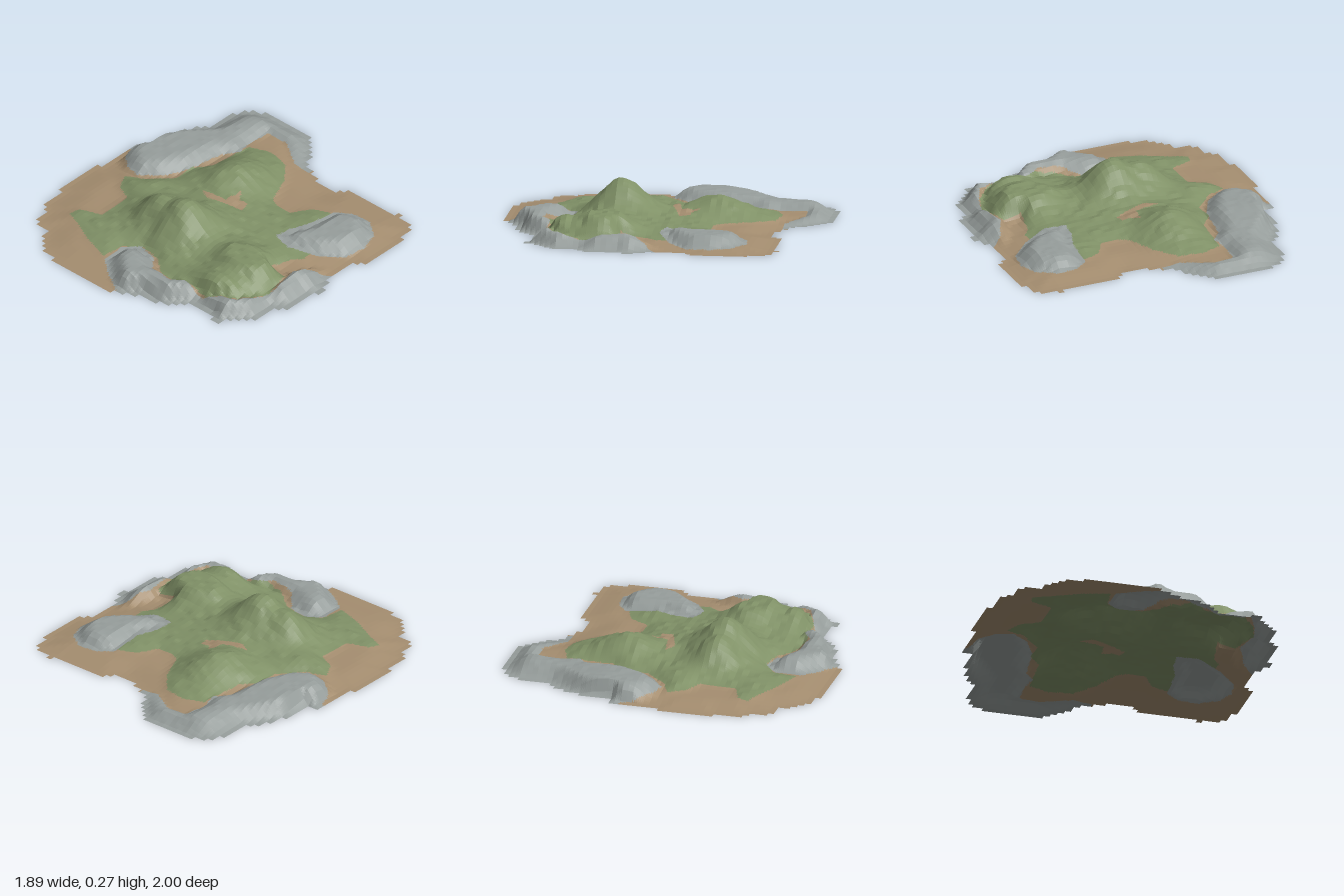
import * as THREE from 'three';

const STEP = 2 / 57, SUB = 3, NX = 54, NZ = 57;

// Region outlines as flat x, z pairs
const outline = [-.51, -1, -.2, -1, -.11, -.93, 0, -.78, .2, -.68, .25, -.66, .37, -.76, .71, -.76, .77, -.8, .8, -.75,
  .91, -.73, .92, -.6, .95, -.59, .95, -.29, .9, -.25, .88, -.2, .88, 0, .91, .07, .95, .14, .91, .2, .91, .37, .84, .45,
  .84, .6, .69, .77, .63, .79, .6, .75, .44, .76, .32, .87, .14, .9, .06, .96, -.06, 1, -.44, 1, -.58, .96, -.65, .9,
  -.72, .8, -.81, .79, -.85, .66, -.91, .6, -.91, .45, -.95, .43, -.95, .08, -.91, .07, -.91, -.22, -.85, -.24,
  -.84, -.4, -.81, -.5, -.71, -.68, -.68, -.9, -.6, -.97];
const grassArea = [-.36, -.64, -.23, -.69, -.08, -.66, .03, -.53, .11, -.34, .17, -.31, .28, -.31, .35, -.43, .46, -.48,
  .62, -.3, .66, -.02, .61, .04, .58, .2, .72, .21, .76, .4, .72, .51, .64, .61, .5, .68, .37, .66, .27, .71, .14, .69,
  0, .58, -.14, .56, -.24, .63, -.26, .78, -.44, .72, -.6, .64, -.71, .6, -.69, .53, -.55, .48, -.55, .25, -.66, .2,
  -.72, .09, -.6, .04, -.47, -.1, -.47, -.24, -.39, -.34];
const innerSoil = [-.22, -.06, -.05, -.09, -.03, -.21, .01, -.15, .07, -.16, .08, -.09, -.05, -.05, -.14, -.02];
const leftRock = [0, -1.08, -1.03, -1.08, -1.03, -.18, -.89, -.16, -.87, -.07, -.76, .02, -.66, .04, -.55, -.05,
  -.47, -.21, -.43, -.47, -.36, -.56, -.39, -.66, -.37, -.82, -.23, -.83, -.06, -.72, .06, -.72];
const rightRock = [.47, -.5, .56, -.57, .69, -.58, .8, -.5, .84, -.37, .82, -.23, .69, -.1, .53, -.02, .4, -.05,
  .41, -.16, .46, -.29];
const frontRock = [.88, -.04, .8, .03, .74, .16, .77, .35, .73, .51, .68, .61, .48, .69, .32, .67, .24, .73, .08, .71,
  -.02, .59, -.15, .56, -.24, .64, -.23, .8, -.13, .88, .06, .99, 1.1, .95, 1.1, -.1];

const { lerp, clamp, smoothstep: smooth } = THREE.MathUtils;
const bump = (x, z, cx, cz, sx, sz) => Math.exp(-(((x - cx) / sx) ** 2 + ((z - cz) / sz) ** 2) / 2);
const hash = (i, j) => { const s = Math.sin(i * 127.1 + j * 311.7) * 43758.5453; return s - Math.floor(s) - 0.5; };

// Rock shelves: top height, reach beyond the outline, inner slope and outer slope width
const rocks = [
  { poly: leftRock, top: (x, z) => lerp(.074, .102, smooth(z, -.65, -.25)), reach: () => .07, slope: .17,
    skirt: (z) => lerp(.17, .08, smooth(z, -.7, -.3)) },
  { poly: rightRock, top: () => .088, reach: () => .03, slope: .14, skirt: () => .1 },
  // The front shelf dips in a gully between its two ends
  { poly: frontRock, top: (x, z) => .096 * (1 - .7 * bump(x, z, .45, .74, .05, .12)),
    reach: (x) => .02 + .08 * smooth(x, -.1, .15), slope: .14, skirt: (z) => lerp(.16, .1, smooth(z, .45, .7)) },
];

// Signed distance to a polygon, positive inside
function inside(p, x, z) {
  let d = Infinity, hit = false;
  for (let i = 0, n = p.length; i < n; i += 2) {
    const ax = p[i], az = p[i + 1], bx = p[(i + 2) % n], bz = p[(i + 3) % n];
    const ex = bx - ax, ez = bz - az;
    const t = clamp(((x - ax) * ex + (z - az) * ez) / (ex * ex + ez * ez), 0, 1);
    d = Math.min(d, Math.hypot(x - ax - t * ex, z - az - t * ez));
    if ((az > z) !== (bz > z) && x < ax + ex * (z - az) / ez) hit = !hit;
  }
  return hit ? d : -d;
}

// Ground height at a coarse grid node
function nodeHeight(i, j) {
  const x = (i - NX / 2) * STEP, z = (j - NZ / 2) * STEP;
  const edge = inside(outline, x, z);
  if (edge <= 0) return 0;
  const g = smooth(inside(grassArea, x, z), -.06, .14);
  // Low soil apron with the green hills rising from it
  let y = .026 * smooth(edge, 0, .22) + .026 * g;
  let hills = .205 * bump(x, z, -.05, .28, .13, .13) + .11 * bump(x, z, -.29, .28, .075, .1)
    + .105 * bump(x, z, -.18, -.3, .12, .14) + .03 * bump(x, z, .1, .1, .25, .2)
    + .09 * bump(x, z, .5, .59, .13, .07) + .17 * bump(x, z, .5, .32, .14, .11)
    + .03 * bump(x, z, -.5, .12, .1, .12);
  if (x > .3) hills = Math.min(hills, .113);
  y += hills * smooth(g, 0, .6);
  y += hash(i >> 1, j) * .012 * g;
  // Flat-topped rock shelves
  for (const { poly, top, reach, slope, skirt } of rocks) {
    const d = inside(poly, x, z) + reach(x);
    if (d <= 0) continue;
    const shelf = top(x, z) * smooth(d, 0, slope) * smooth(edge, .01, skirt(z));
    y = Math.max(y, shelf + hash(i, j) * .004);
  }
  return Math.max(0, y * smooth(edge, -.03, .07));
}

export function createModel() {
  const mat = (name, color) => new THREE.MeshStandardMaterial({ name, color, flatShading: true, side: THREE.DoubleSide });
  const layers = {
    soil: { material: mat('brown soil', 0xa58e70), points: [] },
    grass: { material: mat('green grass', 0x809167), points: [] },
    rock: { material: mat('grey rock', 0x979e9c), points: [] },
  };
  const nodes = [];
  for (let j = 0; j <= NZ; j++) {
    nodes.push([]);
    for (let i = 0; i <= NX; i++) nodes[j].push(nodeHeight(i, j));
  }

  // Point on the terrain within cell i, j
  const point = (i, j, u, v) => {
    const a = lerp(nodes[j][i], nodes[j][i + 1], u);
    const b = lerp(nodes[j + 1][i], nodes[j + 1][i + 1], u);
    return [(i + u - NX / 2) * STEP, lerp(a, b, v), (j + v - NZ / 2) * STEP];
  };
  const layerAt = (x, z) => {
    if (rocks.some(({ poly }) => inside(poly, x, z) > 0)) return layers.rock;
    if (inside(innerSoil, x, z) > 0) return layers.soil;
    return inside(grassArea, x, z) > 0 ? layers.grass : layers.soil;
  };
  const addTriangle = (a, b, c) => {
    layerAt((a[0] + b[0] + c[0]) / 3, (a[2] + b[2] + c[2]) / 3).points.push(...a, ...b, ...c);
  };

  // Stepped island edge from whole cells, split finely for the ground cover
  for (let j = 0; j < NZ; j++) for (let i = 0; i < NX; i++) {
    if (inside(outline, (i + .5 - NX / 2) * STEP, (j + .5 - NZ / 2) * STEP) <= 0) continue;
    for (let m = 0; m < SUB; m++) for (let k = 0; k < SUB; k++) {
      const u = k / SUB, v = m / SUB, s = 1 / SUB;
      const a = point(i, j, u, v), b = point(i, j, u + s, v);
      const c = point(i, j, u, v + s), d = point(i, j, u + s, v + s);
      addTriangle(a, c, b);
      addTriangle(b, c, d);
    }
  }

  const group = new THREE.Group();
  group.name = 'terrain';
  for (const [name, { material, points }] of Object.entries(layers)) {
    const geometry = new THREE.BufferGeometry();
    geometry.setAttribute('position', new THREE.Float32BufferAttribute(points, 3));
    geometry.computeVertexNormals();
    const mesh = new THREE.Mesh(geometry, material);
    mesh.name = name;
    group.add(mesh);
  }
  return group;
}
